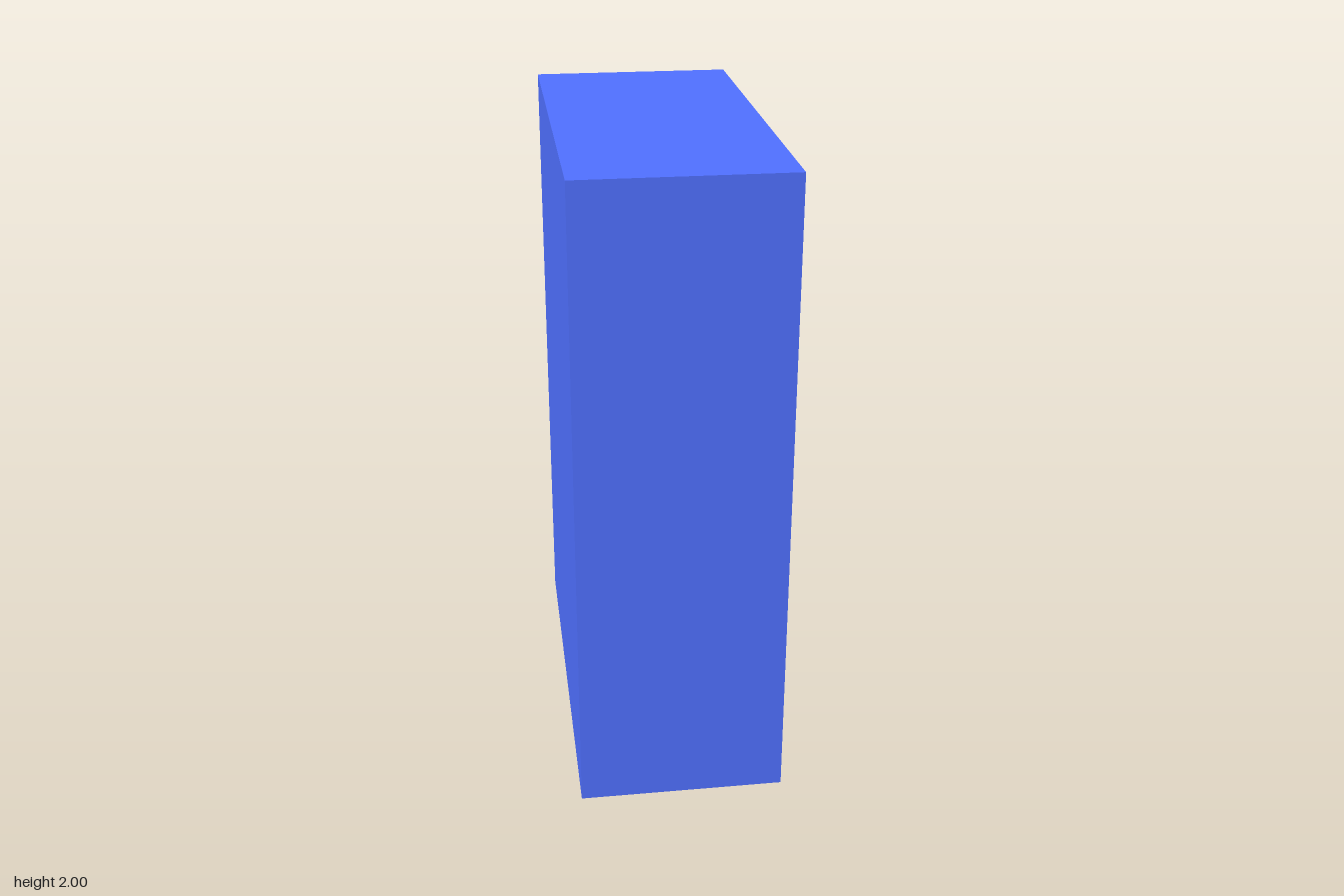
import * as THREE from 'three';

const FRONT = 0.303, BACK = -0.335, HALF = 0.665, H = 2, T = 0.015;

const paint = (color) => new THREE.MeshStandardMaterial({ color, side: THREE.DoubleSide });
const blue = paint(0x5070ff), orange = paint(0xff9020), darkBlue = paint(0x0000ff);

// Outline drawn on the serving face: points are [-z, y]
const outline = (points, Type = THREE.Shape) =>
  new Type(points.map(([u, y]) => new THREE.Vector2(u, y)));
const rect = (u0, u1, y0, y1) => [[u0, y0], [u1, y0], [u1, y1], [u0, y1]];

export function createModel() {
  const model = new THREE.Group();

  const add = (name, geometry, material, x = 0, y = 0, z = 0) => {
    const mesh = new THREE.Mesh(geometry, material);
    mesh.name = name;
    mesh.position.set(x, y, z);
    model.add(mesh);
    return mesh;
  };
  const box = (name, material, [x0, x1], [y0, y1], [z0, z1]) =>
    add(name, new THREE.BoxGeometry(x1 - x0, y1 - y0, z1 - z0), material,
      (x0 + x1) / 2, (y0 + y1) / 2, (z0 + z1) / 2);
  // Plate standing on the serving face, extruded towards +x
  const plate = (name, shape, depth, x, material) =>
    add(name, new THREE.ExtrudeGeometry(shape, { depth, bevelEnabled: false })
      .rotateY(Math.PI / 2), material, x);
  const panel = (name, color, x, u0, u1, y0, y1) =>
    add(name, new THREE.PlaneGeometry(u1 - u0, y1 - y0).rotateY(Math.PI / 2),
      paint(color), x, (y0 + y1) / 2, -(u0 + u1) / 2);

  // Hollow cabinet
  box('cabinetBack', blue, [BACK, BACK + T], [0, H], [-HALF, HALF]);
  box('cabinetFloor', blue, [BACK + T, FRONT - T], [0, T], [-HALF, HALF]);
  box('cabinetTop', blue, [BACK + T, FRONT - T], [H - T, H], [-HALF, HALF]);
  for (const s of [-1, 1]) {
    const z = [s * HALF, s * (HALF - T)].sort((a, b) => a - b);
    box(s > 0 ? 'cabinetLeftSide' : 'cabinetRightSide', blue,
      [BACK + T, FRONT - T], [T, H - T], z);
  }

  // Serving face with the window and delivery openings
  const slot = [[-0.42, 0.265], [0.185, 0.265], [0.175, 0.41], [-0.42, 0.41]];
  const face = outline(rect(-HALF, HALF, 0, H));
  face.holes.push(outline(rect(-0.525, 0.28, 0.48, 1.875), THREE.Path));
  face.holes.push(outline(slot, THREE.Path));
  plate('cabinetFace', face, T, FRONT - T, blue);

  // Delivery slot surround
  const surround = outline([[-0.465, 0.23], [0.23, 0.23], [0.22, 0.445], [-0.465, 0.445]]);
  surround.holes.push(outline(slot, THREE.Path));
  plate('deliveryFrame', surround, 0.012, FRONT, darkBlue);

  // Product shelves behind the window
  for (let i = 0; i < 5; i++) {
    const top = 0.51 + i * 0.27;
    box('shelf', orange, [-0.3, 0.156], [top - 0.05, top], [-0.28, 0.525]);
  }

  // Window pane and control panels stand slightly proud of the face
  panel('window', 0xd8ffd8, 0.335, -0.525, 0.28, 0.48, 1.875);
  panel('displayPanel', 0xff0000, 0.324, 0.328, 0.625, 1.73, 1.97);
  panel('paymentSlot', 0x00ff00, 0.324, 0.333, 0.643, 1.43, 1.535);
  panel('keypad', 0xff00ff, 0.319, 0.375, 0.6, 1.06, 1.36);

  return model;
}
